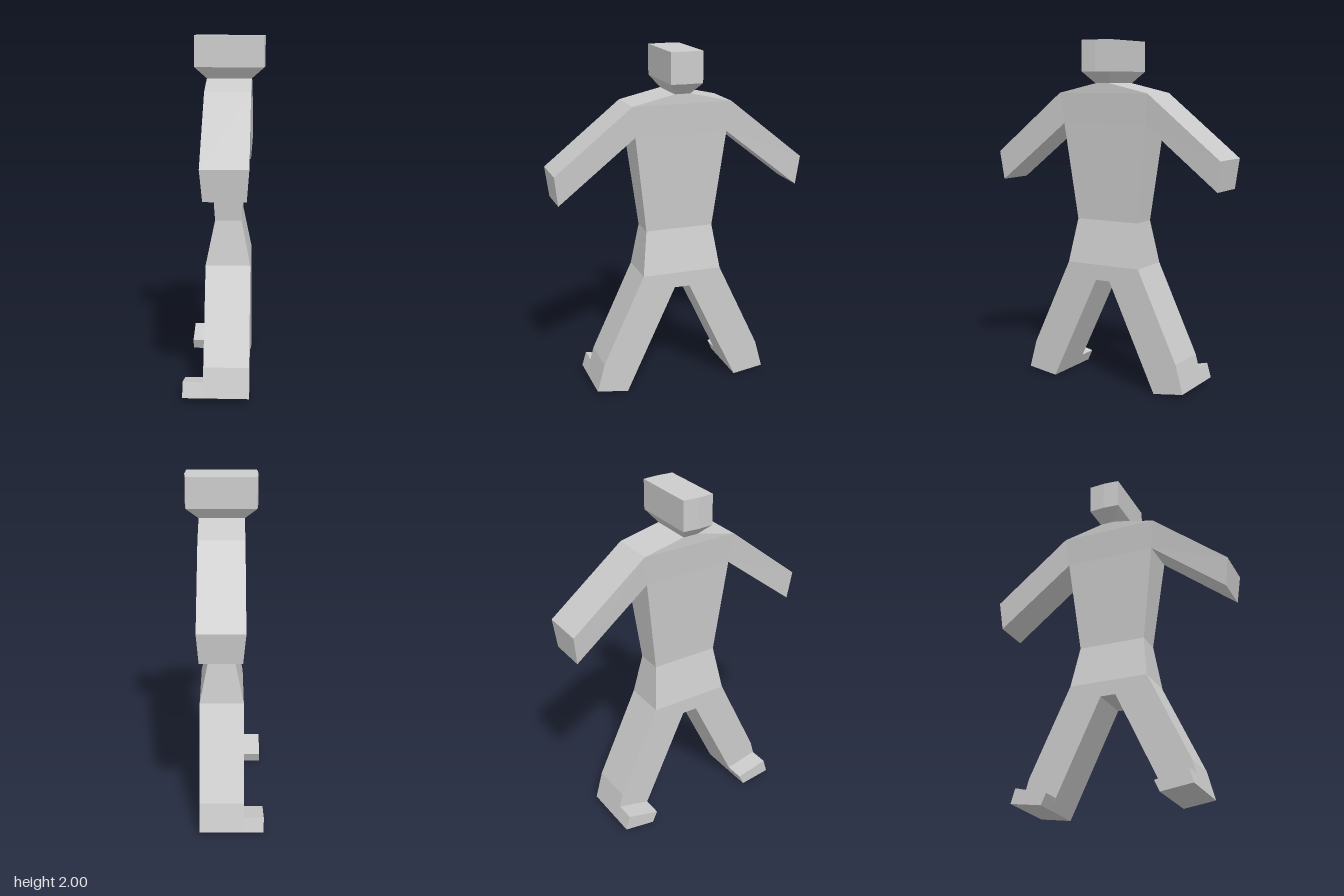
import * as THREE from 'three';

const material = new THREE.MeshStandardMaterial({ color: 0xcccccc, flatShading: true });

// Flat-shaded mesh from corner points and convex faces (counter-clockwise from outside)
function solid(name, points, faces) {
  const positions = [];
  for (const f of faces) {
    for (let i = 1; i < f.length - 1; i++) {
      for (const k of [f[0], f[i], f[i + 1]]) positions.push(...points[k]);
    }
  }
  const geometry = new THREE.BufferGeometry();
  geometry.setAttribute('position', new THREE.Float32BufferAttribute(positions, 3));
  geometry.computeVertexNormals();
  const mesh = new THREE.Mesh(geometry, material);
  mesh.name = name;
  return mesh;
}

// Slab with a side outline of [z, y, xNear, xFar] corners; panels cover both broad sides
function slab(name, outline, panels) {
  const n = outline.length;
  const points = [
    ...outline.map(([z, y, x0]) => [x0, y, z]),
    ...outline.map(([z, y, , x1]) => [x1, y, z]),
  ];
  const faces = [];
  for (const p of panels) faces.push(p, p.map((k) => k + n).reverse());
  for (let i = 0; i < n; i++) {
    const j = (i + 1) % n;
    faces.push([i, i + n, j + n, j]);
  }
  return solid(name, points, faces);
}

const mirrorZ = ([z, ...rest]) => [-z, ...rest];

// Torso, arms and legs as one mirrored slab
function createBody() {
  const half = [
    [0.045, 1.76, -0.11, 0.145], // 0 neck
    [0.29, 1.705, -0.11, 0.145], // 1 shoulder
    [0.735, 1.35, -0.11, 0.145], // 2 hand top
    [0.715, 1.18, -0.095, 0.132], // 3 hand bottom
    [0.27, 1.53, -0.092, 0.13], // 4 armpit
    [0.2, 0.97, -0.057, 0.094], // 5 waist
    [0.235, 0.715, -0.11, 0.145], // 6 hip
    [0.48, 0.195, -0.11, 0.145], // 7 ankle
    [0.525, 0.03, -0.11, 0.145], // 8 outer sole
    [0.34, 0.003, -0.11, 0.145], // 9 inner sole
    [0.045, 0.625, -0.11, 0.145], // 10 crotch
  ];
  const outline = [...half.map(mirrorZ), ...half.slice().reverse()];
  const opposite = (k) => outline.length - 1 - k;
  const panels = [];
  // Limbs on both sides
  for (const limb of [[1, 2, 3, 4], [6, 7, 8, 9, 10]]) {
    panels.push(limb, limb.map(opposite).reverse());
  }
  // Bands across the torso and pelvis
  for (const [a, b] of [[0, 1], [1, 4], [4, 5], [5, 6], [6, 10]]) {
    panels.push([a, b, opposite(b), opposite(a)]);
  }
  return slab('body', outline, panels);
}

// Toe block projecting from the lower leg
function createFoot(name, side) {
  const section = [[0.31, 0.068], [0.5, 0.115], [0.525, 0.03], [0.34, 0.003]]
    .map(([z, y]) => [z, y, -0.225, -0.11]);
  const outline = side > 0 ? section.reverse() : section.map(mirrorZ);
  return slab(name, outline, [[0, 1, 2, 3]]);
}

// Wide head with slightly pointed ends, tapering down to the neck
function createHead() {
  const levels = [
    // y, half depth, end xs, middle xs
    [1.76, 0.045, -0.11, 0.145, -0.11, 0.145],
    [1.825, 0.093, -0.178, 0.215, -0.185, 0.222],
    [2, 0.093, -0.178, 0.215, -0.185, 0.222],
  ];
  const points = levels.flatMap(([y, d, a, b, am, bm]) => [
    [a, y, d], [b, y, d], [bm, y, 0], [b, y, -d], [a, y, -d], [am, y, 0],
  ]);
  const faces = [[12, 13, 14, 15, 16, 17], [5, 4, 3, 2, 1, 0]];
  for (let r = 0; r < 12; r += 6) {
    for (let i = 0; i < 6; i++) {
      const j = (i + 1) % 6;
      faces.push([r + i, r + j, r + 6 + j, r + 6 + i]);
    }
  }
  return solid('head', points, faces);
}

export function createModel() {
  const model = new THREE.Group();
  model.name = 'figure';
  model.add(createBody(), createHead(), createFoot('frontFoot', 1), createFoot('backFoot', -1));
  return model;
}
